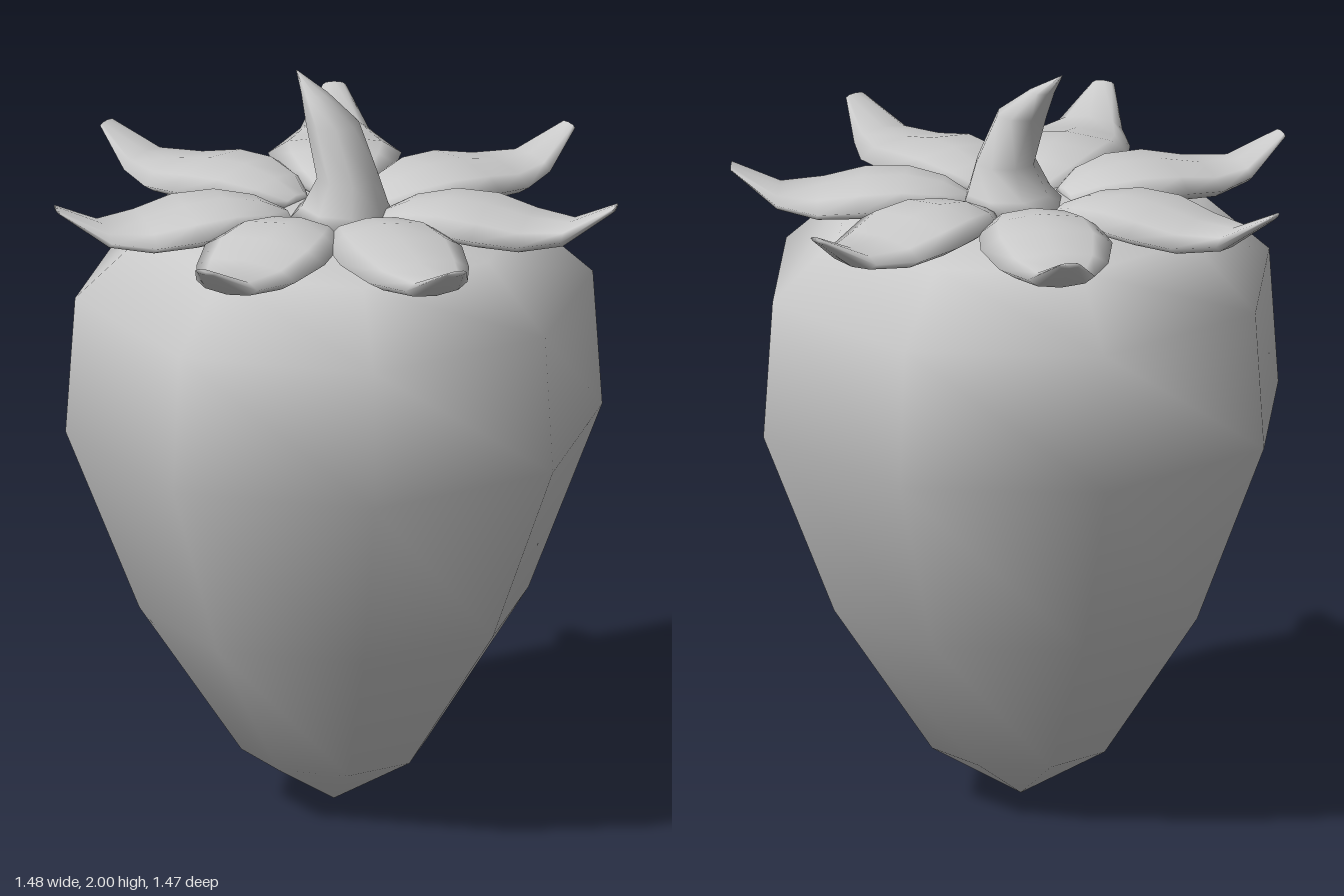
import * as THREE from 'three';

const grey = new THREE.MeshStandardMaterial({ color: 0xcccccc });

// Closed smooth skin over a list of rings of [x, y, z] points
function loft(rings) {
  const n = rings[0].length;
  const pos = rings.flat(2);
  const index = [];
  const centre = (ring) => [0, 1, 2].map((k) => ring.reduce((s, p) => s + p[k], 0) / n);
  const last = rings.length - 1;
  const c0 = rings.length * n;
  pos.push(...centre(rings[0]), ...centre(rings[last]));
  for (let j = 0; j < n; j++) {
    const k = (j + 1) % n;
    for (let i = 0; i < last; i++) {
      const a = i * n + j, b = i * n + k;
      index.push(a, b, a + n, b, b + n, a + n);
    }
    index.push(c0, k, j, c0 + 1, last * n + j, last * n + k);
  }
  const geo = new THREE.BufferGeometry();
  geo.setAttribute('position', new THREE.Float32BufferAttribute(pos, 3));
  geo.setIndex(index);
  geo.computeVertexNormals();
  return geo;
}

const ring = (n, f) => Array.from({ length: n }, (_, j) => {
  const a = (j / n) * Math.PI * 2;
  return f(Math.sin(a), Math.cos(a));
});

export function createModel() {
  const model = new THREE.Group();
  const add = (name, geo) => {
    const mesh = new THREE.Mesh(geo, grey);
    mesh.name = name;
    model.add(mesh);
    return mesh;
  };

  // Eight-sided fruit tapering to a point at the bottom
  const profile = [[0, 0], [0.245, 0.15], [0.515, 0.56], [0.71, 1.06], [0.685, 1.43], [0.5, 1.6], [0.25, 1.63], [0, 1.63]];
  const fruit = add('fruit', new THREE.LatheGeometry(profile.map(([x, y]) => new THREE.Vector2(x, y)), 8));
  fruit.position.x = 0.01;

  // Leaf stations: distance out, height, half width, half thickness
  const leafGeo = loft([
    [0.13, 1.63, 0.05, 0.02],
    [0.2, 1.647, 0.115, 0.036],
    [0.3, 1.655, 0.16, 0.045],
    [0.41, 1.648, 0.175, 0.045],
    [0.52, 1.63, 0.145, 0.037],
    [0.63, 1.635, 0.09, 0.026],
    [0.755, 1.712, 0.03, 0.008],
  ].map(([r, y, w, t]) => ring(8, (s, c) => [r, y + c * t, s * w])));

  // Seven leaves around the stem
  [-88.5, -36.5, 17.5, 68, 119, 170.5, 218.5].forEach((deg, i) => {
    const leaf = add('leaf' + (i + 1), leafGeo);
    leaf.position.set(0.01, 0, 0.005);
    leaf.rotation.y = -THREE.MathUtils.degToRad(deg);
  });

  // Stem stations: height, z, radius; it flares at the base and bends back
  add('stem', loft([
    [1.61, 0.02, 0.15],
    [1.66, 0.035, 0.115],
    [1.74, 0.045, 0.082],
    [1.88, -0.005, 0.07],
    [1.95, -0.063, 0.035],
    [2.0, -0.12, 0.002],
  ].map(([y, z, r]) => ring(8, (s, c) => [0.01 + s * r, y, z + c * r]))));

  return model;
}
